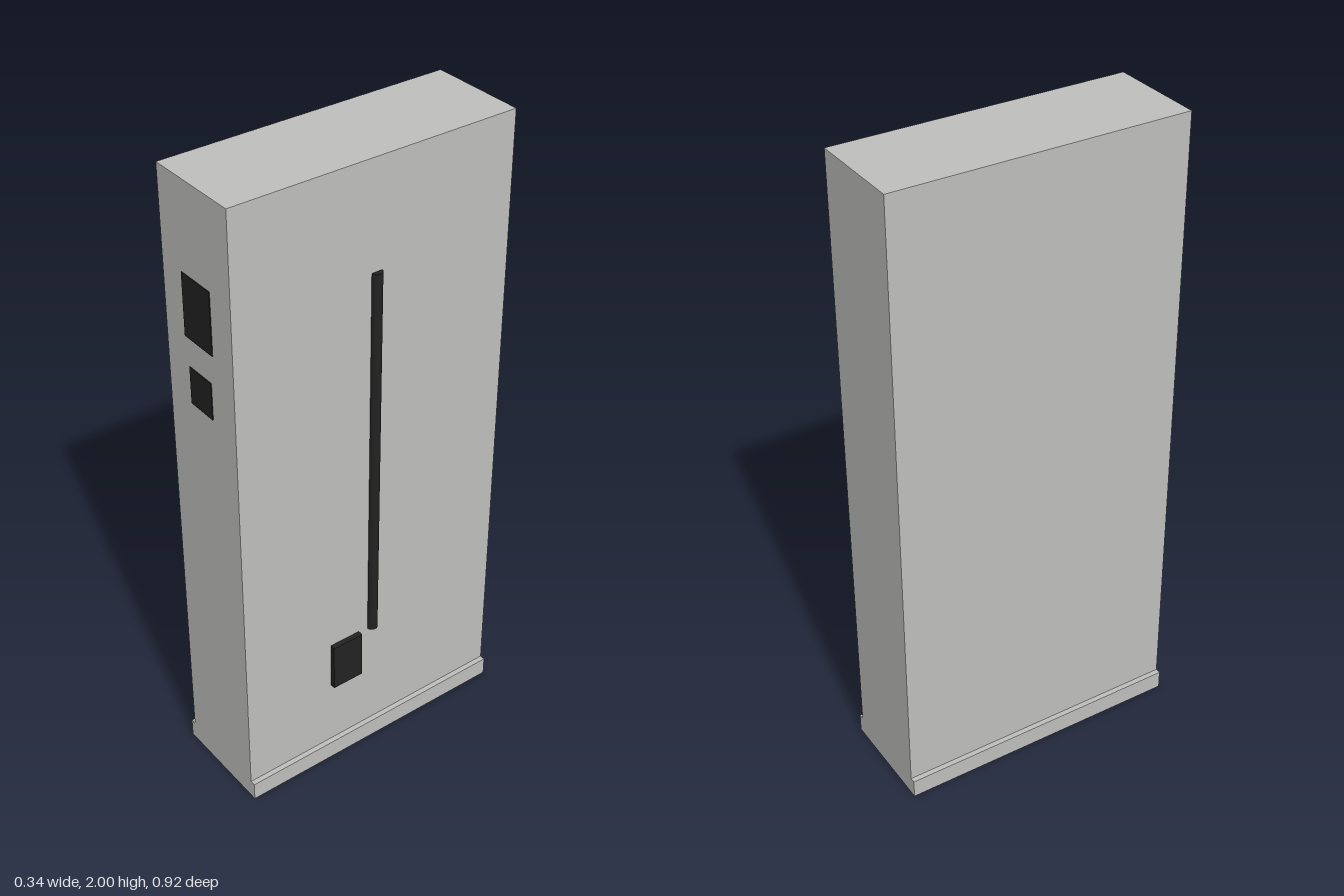
import * as THREE from 'three';

export function createModel() {
  const group = new THREE.Group();
  const bodyGrey = new THREE.MeshStandardMaterial({ color: 0xbfbfbd });
  bodyGrey.name = 'body grey';
  const trimBlack = new THREE.MeshStandardMaterial({ color: 0x222223 });
  trimBlack.name = 'trim black';

  const add = (name, geometry, material, x, y, z) => {
    const mesh = new THREE.Mesh(geometry, material);
    mesh.name = name;
    mesh.position.set(x, y, z);
    group.add(mesh);
  };
  // box given by its minimum and maximum corners
  const box = (name, material, [x0, y0, z0], [x1, y1, z1]) =>
    add(name, new THREE.BoxGeometry(x1 - x0, y1 - y0, z1 - z0), material,
      (x0 + x1) / 2, (y0 + y1) / 2, (z0 + z1) / 2);

  const side = 0.154, depth = 0.457, plinth = 0.06;

  // cabinet slab on a slightly wider plinth
  box('cabinet', bodyGrey, [-side, plinth, -depth], [side, 2, depth]);
  box('plinth', bodyGrey, [-0.171, 0, -depth], [0.171, plinth, depth]);

  // half-round upright bar on the left side
  add('sideBar', new THREE.CylinderGeometry(0.017, 0.017, 1.23, 12, 1, false, 0, Math.PI),
    trimBlack, side, 1.055, 0);

  // small block beside the foot of the bar
  box('sideBlock', trimBlack, [side, 0.285, 0.05], [0.171, 0.445, 0.155]);

  // thin panels on the front edge
  box('displayPanel', trimBlack, [-0.063, 1.54, depth], [0.063, 1.73, depth + 0.003]);
  box('controlPanel', trimBlack, [-0.05, 1.335, depth], [0.05, 1.45, depth + 0.003]);

  return group;
}
